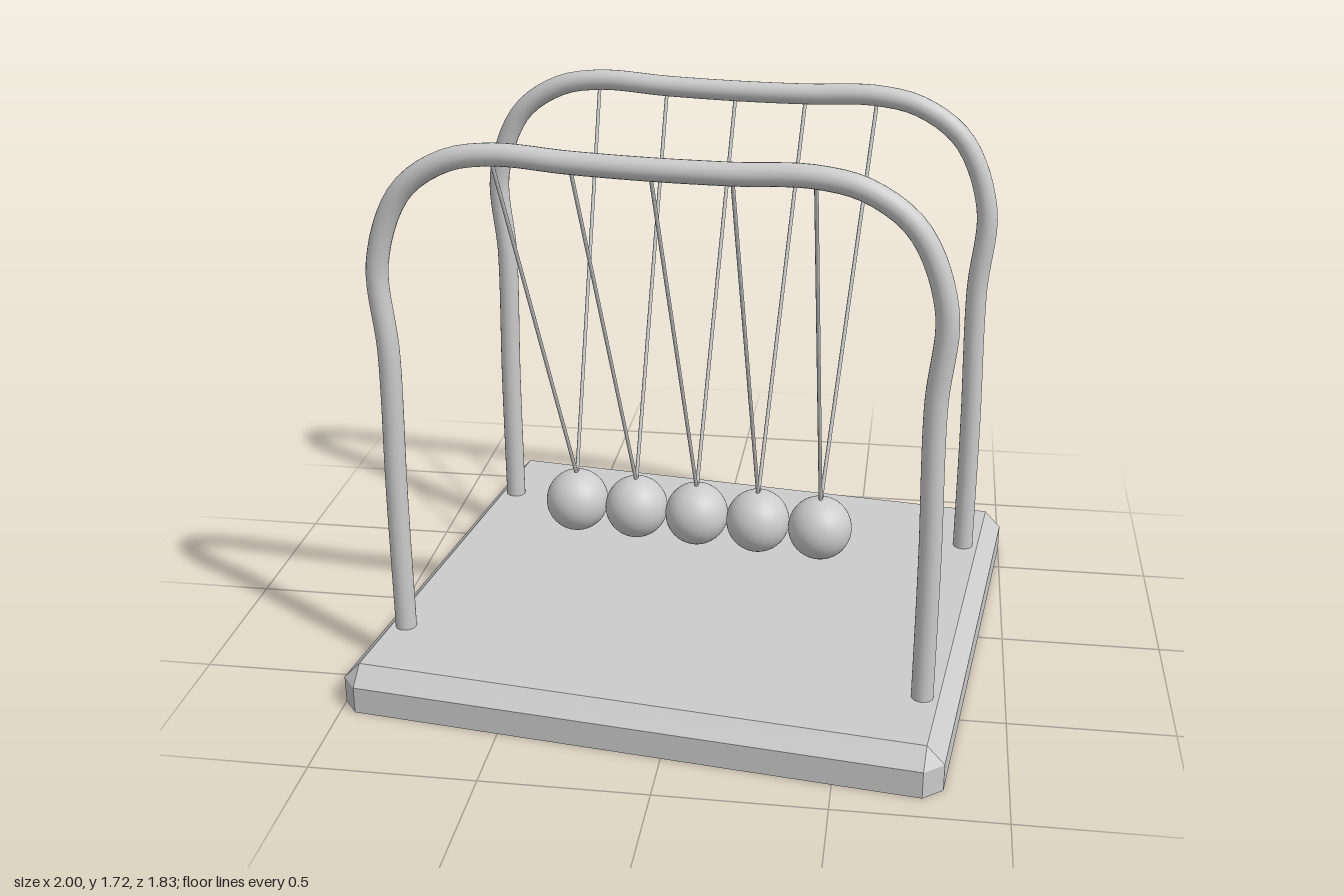
import * as THREE from 'three';
import { ConvexGeometry } from 'three/addons/geometries/ConvexGeometry.js';

const material = new THREE.MeshStandardMaterial({ color: 0xcccccc });
const V = (x, y, z) => new THREE.Vector3(x, y, z);

function addMesh(parent, name, geometry) {
  const mesh = new THREE.Mesh(geometry, material);
  mesh.name = name;
  parent.add(mesh);
  return mesh;
}

// Slab with clipped upright corners and a bevelled top rim
function baseGeometry() {
  const w = 0.915, d = 0.815, cut = 0.053, rim = 0.085, top = 0.14;
  const points = [];
  for (const sx of [-1, 1]) {
    for (const sz of [-1, 1]) {
      for (const y of [0, rim]) {
        points.push(V(sx * w, y, sz * (d - cut)), V(sx * (w - cut), y, sz * d));
      }
      points.push(V(sx * (w - cut), top, sz * (d - cut)));
    }
  }
  return new ConvexGeometry(points);
}

// Bent tube hoop: one half of the path, mirrored across the middle
function hoopGeometry() {
  const half = [
    [0.815, 0.1], [0.815, 0.6], [0.809, 1.06], [0.825, 1.34],
    [0.742, 1.555], [0.606, 1.654], [0.46, 1.684], [0.23, 1.676],
  ];
  const path = [
    ...half.map(([x, y]) => V(-x, y, 0)),
    V(0, 1.673, 0),
    ...half.map(([x, y]) => V(x, y, 0)).reverse(),
  ];
  return new THREE.TubeGeometry(new THREE.CatmullRomCurve3(path), 120, 0.033, 20);
}

// Thin cylinder between two points
function addString(parent, name, from, to) {
  const dir = to.clone().sub(from);
  const mesh = addMesh(parent, name, new THREE.CylinderGeometry(0.006, 0.006, dir.length(), 8));
  mesh.position.copy(from).add(to).multiplyScalar(0.5);
  mesh.quaternion.setFromUnitVectors(V(0, 1, 0), dir.normalize());
}

export function createModel() {
  const model = new THREE.Group();
  model.name = 'swingingBalls';
  const turned = new THREE.Group();
  turned.name = 'turnedAssembly';
  turned.rotation.y = -0.122;
  model.add(turned);

  addMesh(turned, 'base', baseGeometry());

  const frame = new THREE.Group();
  frame.name = 'frameAndBalls';
  frame.position.set(-0.002, 0, 0.014);
  turned.add(frame);

  // Two hoops, front and back
  const hoop = hoopGeometry();
  for (const side of [1, -1]) {
    addMesh(frame, side > 0 ? 'frontHoop' : 'backHoop', hoop).position.z = side * 0.498;
  }

  // Five touching balls, each hung from both hoops
  const ball = new THREE.SphereGeometry(0.1015, 40, 28);
  for (let i = -2; i <= 2; i++) {
    const x = i * 0.203;
    addMesh(frame, `ball${i + 3}`, ball).position.set(x, 0.397, 0);
    for (const side of [1, -1]) {
      addString(frame, `${side > 0 ? 'front' : 'back'}String${i + 3}`,
        V(x, 0.485, 0), V(i * 0.23, 1.67, side * 0.498));
    }
  }
  return model;
}
